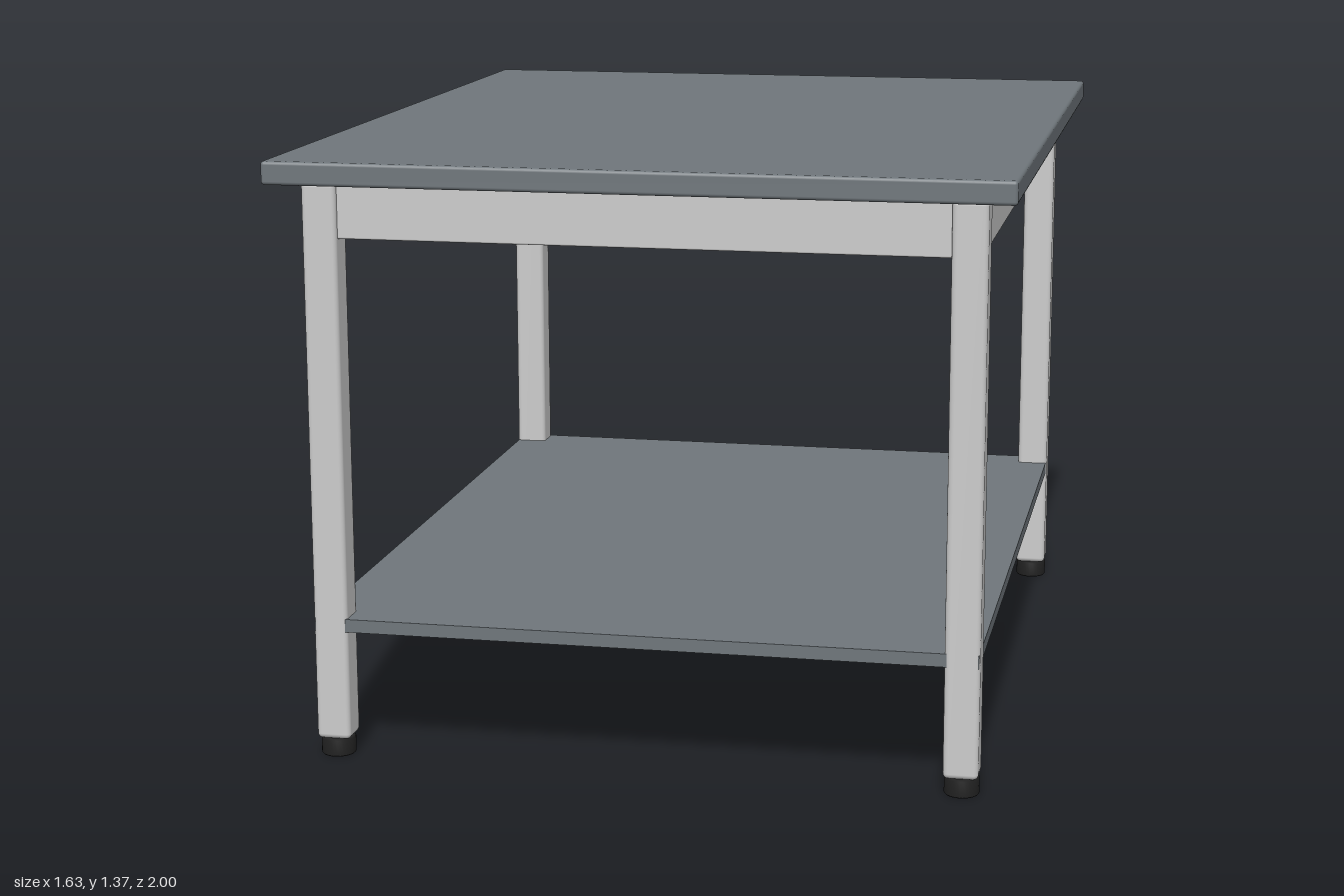
import * as THREE from 'three';
import { RoundedBoxGeometry } from 'three/addons/geometries/RoundedBoxGeometry.js';

const frameMaterial = new THREE.MeshStandardMaterial({ color: 0xcccccc });
const boardMaterial = new THREE.MeshStandardMaterial({ color: 0x6f767b });
const footMaterial = new THREE.MeshStandardMaterial({ color: 0x222222 });

const LEG = 0.078;   // leg width
const LEG_X = 0.711; // leg centre lines
const LEG_Z = 0.892;
const TOP_Y = 1.313; // underside of the table top
const FOOT_H = 0.042;

export function createModel() {
  const table = new THREE.Group();
  table.name = 'workTable';

  const add = (name, geometry, material, x, y, z) => {
    const mesh = new THREE.Mesh(geometry, material);
    mesh.name = name;
    mesh.position.set(x, y, z);
    table.add(mesh);
  };

  // Table top with softened edges
  add('tableTop', new RoundedBoxGeometry(1.63, 0.052, 2, 3, 0.008), boardMaterial, 0, 1.339, 0);

  // Lower shelf, its sharp corners just showing at the rounded leg edges
  add('lowerShelf', new THREE.BoxGeometry(1.495, 0.03, 1.857), boardMaterial, 0, 0.311, 0);

  // Legs with round feet
  const legHeight = TOP_Y - FOOT_H;
  const legGeometry = new RoundedBoxGeometry(LEG, legHeight, LEG, 3, 0.012);
  const r = LEG / 2;
  const footProfile = [[0, 0], [r - 0.003, 0], [r, 0.003], [r, FOOT_H - 0.004], [r - 0.004, FOOT_H], [0, FOOT_H + 0.002]]
    .map(([x, y]) => new THREE.Vector2(x, y));
  const footGeometry = new THREE.LatheGeometry(footProfile, 32);
  for (const sx of [1, -1]) {
    for (const sz of [1, -1]) {
      const corner = (sz > 0 ? 'front' : 'back') + (sx > 0 ? 'Left' : 'Right');
      add(corner + 'Leg', legGeometry, frameMaterial, sx * LEG_X, FOOT_H + legHeight / 2, sz * LEG_Z);
      add(corner + 'Foot', footGeometry, footMaterial, sx * LEG_X, 0, sz * LEG_Z);
    }
  }

  // Apron rails between the legs
  const railH = 0.126, railT = 0.05;
  const railY = TOP_Y - railH / 2;
  const crossRail = new RoundedBoxGeometry(2 * LEG_X - LEG + 0.01, railH, railT, 2, 0.004);
  const sideRail = new RoundedBoxGeometry(railT, railH, 2 * LEG_Z - LEG + 0.01, 2, 0.004);
  for (const s of [1, -1]) {
    add(s > 0 ? 'frontRail' : 'backRail', crossRail, frameMaterial, 0, railY, s * LEG_Z);
    add(s > 0 ? 'leftRail' : 'rightRail', sideRail, frameMaterial, s * LEG_X, railY, 0);
  }

  return table;
}
